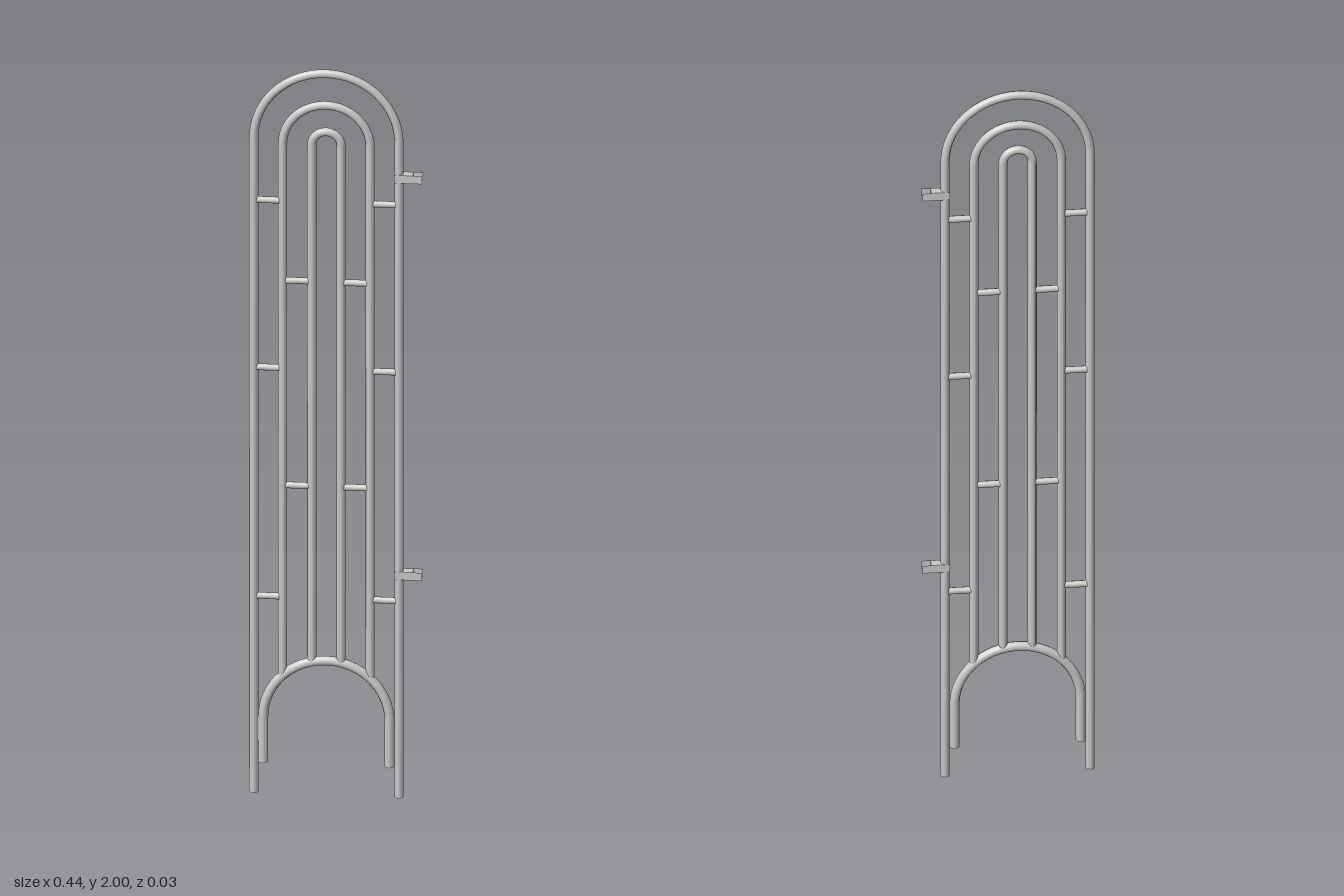
import * as THREE from 'three';

const material = new THREE.MeshStandardMaterial({ color: 0xcccccc });
const sheetMaterial = new THREE.MeshStandardMaterial({ color: 0xcccccc, side: THREE.DoubleSide });
const CX = -0.025; // centre line of the panel
const SIDES = 8;

// Straight round bar with closed ends
function bar(name, a, b, r) {
  const d = b.clone().sub(a);
  const mesh = new THREE.Mesh(new THREE.CylinderGeometry(r, r, d.length(), SIDES), material);
  mesh.position.copy(a).add(b).multiplyScalar(0.5);
  mesh.quaternion.setFromUnitVectors(new THREE.Vector3(0, 1, 0), d.normalize());
  mesh.name = name;
  return mesh;
}

// Bent tube: two legs joined by a half circle on top
function hoop(name, half, spring, bottom, r) {
  const group = new THREE.Group();
  group.name = name;
  const bend = new THREE.Mesh(new THREE.TorusGeometry(half, r, SIDES, 32, Math.PI), material);
  bend.position.set(CX, spring, 0);
  bend.name = name + 'Bend';
  group.add(bend);
  for (const s of [-1, 1]) {
    const x = CX + s * half;
    group.add(bar(name + 'Leg', new THREE.Vector3(x, bottom, 0), new THREE.Vector3(x, spring, 0), r));
  }
  return group;
}

// Mounting bracket: a short block between two thin cheeks that clasp the outer leg
function bracket(y) {
  const group = new THREE.Group();
  group.name = 'mountingBracket';
  group.position.y = y;
  const block = new THREE.Mesh(new THREE.BoxGeometry(0.035, 0.022, 0.025), material);
  block.position.x = 0.1775;
  block.name = 'bracketBlock';
  group.add(block);
  for (const s of [-1, 1]) {
    const cheek = new THREE.Mesh(new THREE.PlaneGeometry(0.07, 0.022), sheetMaterial);
    cheek.position.set(0.183, 0, s * 0.0127);
    cheek.name = 'bracketCheek';
    group.add(cheek);
  }
  return group;
}

export function createModel() {
  const model = new THREE.Group();
  model.name = 'archedPanel';
  const outer = 0.184, middle = 0.111, inner = 0.037;

  // Three nested hoops and the wide foot arch they stand on
  model.add(hoop('outerHoop', outer, 1.8045, 0, 0.0115));
  model.add(hoop('middleHoop', middle, 1.79, 0.325, 0.0115));
  model.add(hoop('innerHoop', inner, 1.791, 0.364, 0.0115));
  model.add(hoop('footArch', 0.16, 0.208, 0.083, 0.0127));

  // Short rungs, mirrored on both sides
  const rungs = [
    [middle, outer, [1.634, 1.172, 0.541]],
    [inner, middle, [1.414, 0.849]],
  ];
  for (const [from, to, heights] of rungs)
    for (const y of heights)
      for (const s of [-1, 1])
        model.add(bar('rung', new THREE.Vector3(CX + s * from, y, 0), new THREE.Vector3(CX + s * to, y, 0), 0.009));

  // Brackets on the left side
  for (const y of [1.71, 0.615]) model.add(bracket(y));
  return model;
}
